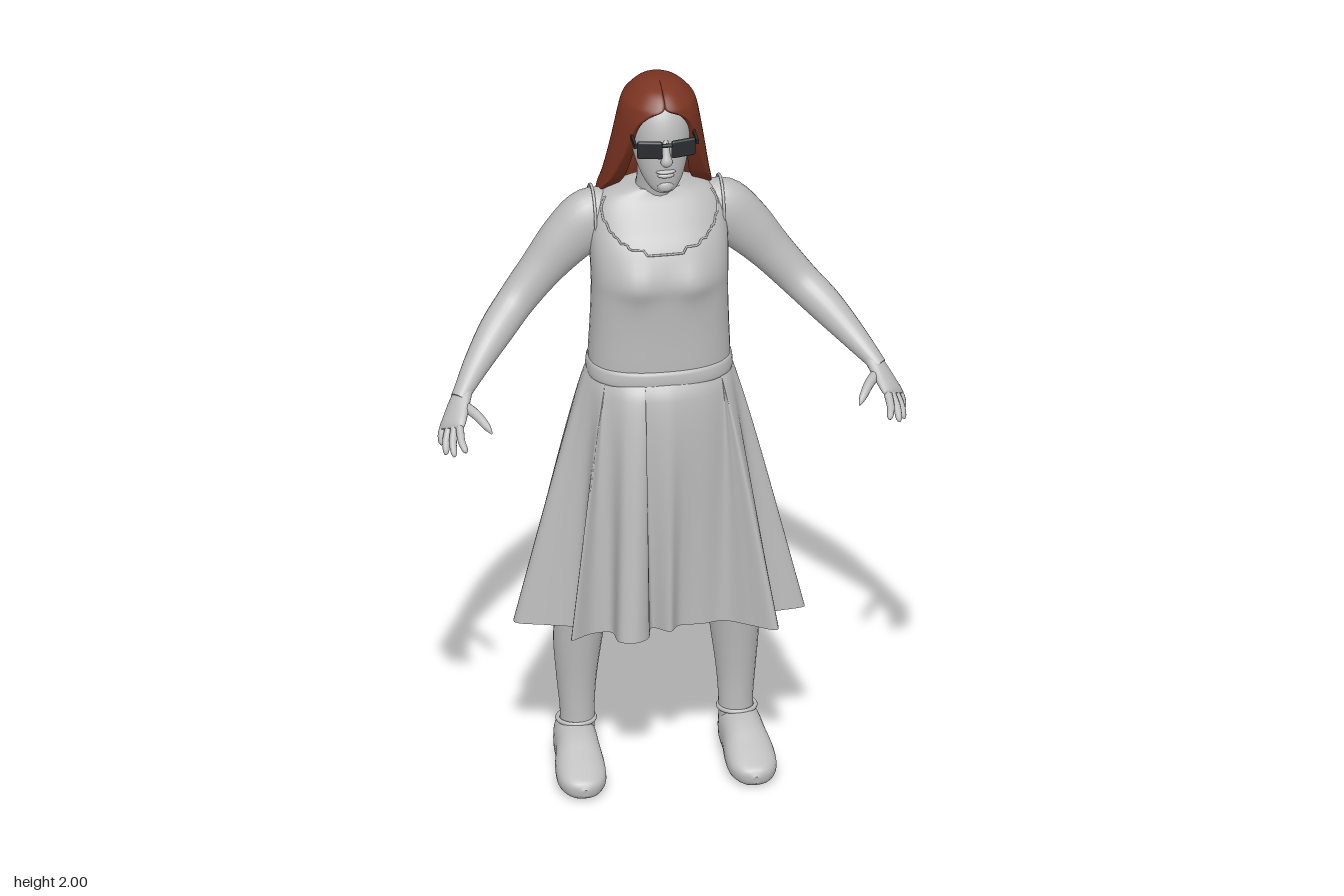
import * as THREE from 'three';
import { RoundedBoxGeometry } from 'three/addons/geometries/RoundedBoxGeometry.js';

const clay = new THREE.MeshStandardMaterial({ color: 0xbcbcbc, side: THREE.DoubleSide });
clay.name = 'pale grey';
const auburn = new THREE.MeshStandardMaterial({ color: 0x7c3421 });
auburn.name = 'auburn';
const dark = new THREE.MeshStandardMaterial({ color: 0x2b2c30 });
dark.name = 'dark lens';

const V = (x, y, z) => new THREE.Vector3(x, y, z);
const pow = (v, p) => Math.sign(v) * Math.abs(v) ** (2 / p);

// Smoothly resample a table of section rows, column by column
function sample(rows, steps) {
  const out = [], last = rows.length - 1;
  for (let k = 0; k <= steps; k++) {
    const u = (k / steps) * last, i = Math.min(Math.floor(u), last - 1), t = u - i;
    const [a, b, c, d] = [i - 1, i, i + 1, i + 2].map((j) => rows[Math.max(0, Math.min(last, j))]);
    out.push(b.map((_, n) => b[n] + 0.5 * t * (c[n] - a[n] + t * (2 * a[n] - 5 * b[n] + 4 * c[n] - d[n]
      + t * (3 * (b[n] - c[n]) + d[n] - a[n])))));
  }
  return out;
}

// Skin closed rings of points; caps are separate so the rims stay crisp
function loft(rings, caps = true) {
  const pos = [], idx = [], n = rings[0].length;
  rings.forEach((r) => r.forEach((p) => pos.push(p.x, p.y, p.z)));
  for (let i = 0; i < rings.length - 1; i++) for (let j = 0; j < n; j++) {
    const a = i * n + j, b = i * n + (j + 1) % n;
    idx.push(a, b, b + n, a, b + n, a + n);
  }
  if (caps) [rings[0], rings[rings.length - 1]].forEach((r, end) => {
    const base = pos.length / 3;
    const c = r.reduce((s, p) => s.add(p), V(0, 0, 0)).divideScalar(n);
    [...r, c].forEach((p) => pos.push(p.x, p.y, p.z));
    for (let j = 0; j < n; j++) {
      const a = base + j, b = base + (j + 1) % n;
      idx.push(...(end ? [a, b, base + n] : [b, a, base + n]));
    }
  });
  // turn faces outward
  let volume = 0;
  const at = (i) => V(pos[i * 3], pos[i * 3 + 1], pos[i * 3 + 2]);
  for (let i = 0; i < idx.length; i += 3) volume += at(idx[i]).dot(at(idx[i + 1]).cross(at(idx[i + 2])));
  if (volume < 0) idx.reverse();
  const g = new THREE.BufferGeometry();
  g.setAttribute('position', new THREE.Float32BufferAttribute(pos, 3));
  g.setIndex(idx);
  g.computeVertexNormals();
  return g;
}

// Upright body section: [y, half width, front z, back z]
const bodyPoint = ([y, rx, zf, zb], a, p = 2.3) =>
  V(rx * pow(Math.sin(a), p), y, (zf + zb) / 2 + (zf - zb) / 2 * pow(Math.cos(a), p));
const bodyRing = (row, p, n = 48) => Array.from({ length: n }, (_, j) => bodyPoint(row, j / n * 2 * Math.PI, p));

// Limb along a path: rows are [x, y, z, radius across, radius along ref]
function limb(rows, ref = V(0, 0, 1), steps = 24, n = 20, p = 2) {
  const s = sample(rows, steps), at = (i) => V(...s[Math.max(0, Math.min(steps, i))]);
  return loft(s.map((r, i) => {
    const t = at(i + 1).sub(at(i - 1)).normalize();
    const u = t.clone().cross(ref).normalize(), w = u.clone().cross(t);
    return Array.from({ length: n }, (_, j) => {
      const a = j / n * 2 * Math.PI;
      return at(i).addScaledVector(u, r[3] * pow(Math.cos(a), p)).addScaledVector(w, r[4] * pow(Math.sin(a), p));
    });
  }));
}

export function createModel() {
  const model = new THREE.Group();
  const add = (name, geo, mat = clay, parent = model) => {
    const m = new THREE.Mesh(geo, mat);
    m.name = name;
    parent.add(m);
    return m;
  };
  const ball = (name, x, y, z, sx, sy, sz) => {
    const m = add(name, new THREE.SphereGeometry(1, 20, 14));
    m.position.set(x, y, z);
    m.scale.set(sx, sy, sz);
    return m;
  };

  // Torso with a soft bust
  const torso = sample([[1.14, 0.18, 0.09, -0.145], [1.2, 0.184, 0.095, -0.148], [1.3, 0.18, 0.096, -0.14],
    [1.4, 0.177, 0.1, -0.138], [1.46, 0.178, 0.103, -0.143], [1.53, 0.18, 0.08, -0.15], [1.59, 0.178, 0.045, -0.152],
    [1.635, 0.165, 0.018, -0.145], [1.665, 0.135, 0, -0.135], [1.685, 0.075, -0.008, -0.12]], 44);
  const bust = (p) => {
    if (p.z > 0) p.z += 0.014 * Math.exp(-(((Math.abs(p.x) - 0.075) / 0.045) ** 2) - ((p.y - 1.455) / 0.05) ** 2);
    return p;
  };
  add('torso', loft(torso.map((r) => bodyRing(r, 2.4).map(bust))));
  const neckline = [];
  for (let a = -1.25; a <= 1.26; a += 0.05) {
    const y = 1.54 + 0.12 * (a / 1.25) ** 2;
    const row = torso.reduce((best, r) => (Math.abs(r[0] - y) < Math.abs(best[0] - y) ? r : best));
    neckline.push(bust(bodyPoint(row, a, 2.4)));
  }
  add('neckline', new THREE.TubeGeometry(new THREE.CatmullRomCurve3(neckline), 60, 0.003, 6));
  add('neck', limb([[0, 1.63, -0.07, 0.075, 0.06], [0, 1.69, -0.05, 0.056, 0.052], [0, 1.8, -0.03, 0.055, 0.055]]));

  // Waistband and folded skirt
  add('waistband', loft(sample([[1.16, 0.183, 0.096, -0.15], [1.167, 0.19, 0.104, -0.157], [1.198, 0.188, 0.102, -0.155],
    [1.205, 0.181, 0.095, -0.148]], 8).map((r) => bodyRing(r, 2.4))));
  const hemXZ = [[0, 0.15], [0.03, 0.11], [0.09, 0.11], [0.15, 0.1], [0.21, 0.15], [0.27, 0.2], [0.28, 0.14], [0.27, 0.07],
    [0.37, 0.04], [0.345, -0.02], [0.325, -0.1], [0.35, -0.2], [0.35, -0.26], [0.29, -0.275], [0.2, -0.22], [0.14, -0.2],
    [0.12, -0.26], [0.07, -0.26], [0.05, -0.2], [-0.02, -0.2], [-0.04, -0.26], [-0.1, -0.265], [-0.13, -0.2], [-0.17, -0.265],
    [-0.25, -0.27], [-0.33, -0.19], [-0.35, -0.1], [-0.38, -0.01], [-0.3, 0.03], [-0.23, 0.07], [-0.26, 0.16], [-0.2, 0.12],
    [-0.15, 0.12], [-0.14, 0.2], [-0.1, 0.215], [-0.065, 0.19], [-0.04, 0.11]];
  const hem = new THREE.CatmullRomCurve3(hemXZ.map(([x, z]) => V(x, 0.455 + 0.14 * z, z)), true).getPoints(222).slice(0, -1);
  const skirt = [];
  for (let i = 0; i <= 28; i++) {
    const t = i / 28, hip = 0.03 * Math.sin(Math.PI * Math.sqrt(t));
    skirt.push(hem.map((h) => {
      const a = Math.atan2(h.x, h.z + 0.03);
      const p = bodyPoint([1.18, 0.184, 0.097, -0.151], a, 2.2).lerp(h, t);
      p.x += 0.3 * hip * Math.sin(a);
      p.z += hip * Math.cos(a);
      return p;
    }));
  }
  add('skirt', loft(skirt, false));

  // Head and face
  add('head', loft(sample([[1.712, 0.012, 0.065, 0.03], [1.722, 0.034, 0.078, 0], [1.75, 0.053, 0.083, -0.04],
    [1.79, 0.068, 0.085, -0.09], [1.84, 0.077, 0.083, -0.12], [1.89, 0.08, 0.077, -0.13], [1.935, 0.074, 0.06, -0.12],
    [1.97, 0.045, 0.03, -0.09], [1.98, 0.01, -0.02, -0.04]], 32).map((r) => bodyRing(r, 2.1))));
  add('nose', limb([[0, 1.87, 0.074, 0.008, 0.008], [0, 1.835, 0.088, 0.011, 0.011], [0, 1.815, 0.094, 0.016, 0.013],
    [0, 1.806, 0.088, 0.006, 0.006]], V(0, 0, 1), 12, 14));
  ball('upperLip', 0, 1.783, 0.083, 0.026, 0.006, 0.009);
  ball('lowerLip', 0, 1.772, 0.082, 0.022, 0.007, 0.009);
  ball('chin', 0, 1.738, 0.073, 0.022, 0.018, 0.015);

  // Long hair: curved sheet, [y, half width, centre z, depth, wrap angle, thickness, squareness]
  const hair = sample([[1.14, 0.155, -0.145, 0.045, 1.4, 0.022, 3], [1.28, 0.155, -0.145, 0.05, 1.4, 0.026, 3],
    [1.45, 0.156, -0.14, 0.058, 1.45, 0.03, 2.8], [1.58, 0.157, -0.12, 0.076, 1.5, 0.035, 2.6],
    [1.66, 0.149, -0.1, 0.09, 1.8, 0.045, 2.3], [1.71, 0.139, -0.08, 0.1, 2.05, 0.045, 2.1],
    [1.8, 0.123, -0.055, 0.11, 2.25, 0.035, 2], [1.89, 0.107, -0.04, 0.117, 2.4, 0.03, 2],
    [1.932, 0.098, -0.037, 0.112, 2.7, 0.028, 2], [1.955, 0.086, -0.035, 0.102, 3.13, 0.028, 2],
    [1.985, 0.054, -0.033, 0.068, 3.14, 0.03, 2], [2, 0.008, -0.03, 0.012, 3.14, 0.005, 2]], 66);
  add('hair', loft(hair.map(([y, rx, zc, rz, wrap, thick, p]) => {
    const point = (f, inset) => {
      const a = f * wrap, strand = 0.0025 * Math.sin(f * 31) * Math.min(1, (2 - y) * 6);
      return V(Math.max(rx - inset, 0.003) * pow(Math.sin(a), p), y,
        zc - Math.max(rz - inset, 0.003) * pow(Math.cos(a), p) - strand * Math.cos(a));
    };
    const outer = Array.from({ length: 65 }, (_, j) => point(j / 32 - 1, 0));
    const inner = Array.from({ length: 65 }, (_, j) => point(1 - j / 32, thick));
    return [...outer, ...inner];
  })), auburn);

  // Sunglasses
  const glasses = new THREE.Group();
  glasses.name = 'sunglasses';
  model.add(glasses);
  add('bridge', new RoundedBoxGeometry(0.03, 0.01, 0.01, 2, 0.004), dark, glasses).position.set(0, 1.868, 0.1);

  for (const s of [1, -1]) {
    const side = s > 0 ? 'left' : 'right';
    const mirror = (rows) => rows.map(([x, ...r]) => [s * x, ...r]);
    const lens = add(side + 'Lens', new RoundedBoxGeometry(0.066, 0.05, 0.012, 4, 0.006), dark, glasses);
    lens.position.set(s * 0.044, 1.856, 0.095);
    lens.rotation.y = s * 0.2;
    const temple = add(side + 'Temple', new THREE.BoxGeometry(0.007, 0.012, 0.1), dark, glasses);
    temple.position.set(s * 0.081, 1.868, 0.042);

    // Arm, hand and fingers
    add(side + 'Arm', limb(mirror([[0.11, 1.59, -0.075, 0.06, 0.05], [0.165, 1.585, -0.075, 0.082, 0.062],
      [0.23, 1.53, -0.075, 0.073, 0.06], [0.3, 1.45, -0.07, 0.058, 0.053], [0.37, 1.37, -0.05, 0.05, 0.047],
      [0.43, 1.315, 0, 0.046, 0.044], [0.49, 1.255, 0.06, 0.035, 0.035], [0.535, 1.21, 0.115, 0.024, 0.027],
      [0.55, 1.195, 0.13, 0.02, 0.026]]), V(0, 0, 1), 40, 24));
    const hole = add(side + 'ArmholeSeam', new THREE.TorusGeometry(0.088, 0.004, 6, 40));
    hole.scale.x = 0.74;
    hole.position.set(s * 0.168, 1.585, -0.075);
    hole.rotation.set(0, Math.PI / 2, 0);
    const spread = V(-0.5 * s, 0.12, 0.86).normalize();
    add(side + 'Palm', limb(mirror([[0.53, 1.215, 0.11, 0.02, 0.024], [0.55, 1.185, 0.14, 0.019, 0.033],
      [0.572, 1.15, 0.18, 0.016, 0.04], [0.58, 1.14, 0.193, 0.007, 0.034]]), spread, 14, 18));
    [[0.555, 1.11, 0.272], [0.583, 1.092, 0.255], [0.6, 1.084, 0.225], [0.605, 1.092, 0.185]].forEach((tip, i) => {
      const base = V(s * 0.574, 1.147, 0.182).addScaledVector(spread, 0.029 - i * 0.0195);
      const end = V(s * tip[0], tip[1], tip[2]), mid = base.clone().lerp(end, 0.5);
      mid.x += s * 0.004;
      add(side + 'Finger' + (i + 1), limb([[...base, 0.011, 0.011], [...mid, 0.01, 0.01],
        [...base.clone().lerp(end, 0.88), 0.008, 0.008], [...end, 0.002, 0.002]], spread, 10, 10));
    });
    add(side + 'Thumb', limb(mirror([[0.545, 1.185, 0.145, 0.014, 0.016], [0.515, 1.175, 0.185, 0.013, 0.013],
      [0.492, 1.155, 0.22, 0.01, 0.01], [0.48, 1.14, 0.236, 0.002, 0.002]]), V(0, 1, 0), 12, 10));

    // Leg
    add(side + 'Leg', limb(mirror([[0.1, 1, -0.03, 0.09, 0.1], [0.135, 0.8, -0.04, 0.09, 0.095], [0.175, 0.6, -0.05, 0.075, 0.08],
      [0.195, 0.47, -0.06, 0.067, 0.067], [0.205, 0.36, -0.073, 0.063, 0.066], [0.208, 0.25, -0.073, 0.052, 0.056],
      [0.207, 0.16, -0.067, 0.045, 0.047], [0.207, 0.08, -0.065, 0.045, 0.047]]), V(0, 0, 1), 36, 24));

    // Rounded slip-on shoe with a collar
    add(side + 'Shoe', limb(mirror([[0.215, 0.07, -0.125, 0.012, 0.035], [0.215, 0.072, -0.112, 0.043, 0.06],
      [0.215, 0.073, -0.06, 0.055, 0.067], [0.217, 0.069, 0, 0.057, 0.064], [0.221, 0.054, 0.06, 0.064, 0.05],
      [0.223, 0.04, 0.115, 0.061, 0.036], [0.223, 0.032, 0.15, 0.04, 0.025], [0.223, 0.03, 0.164, 0.01, 0.01]]),
    V(0, 1, 0), 30, 28, 2.5));
    const collar = add(side + 'ShoeCollar', new THREE.TorusGeometry(0.048, 0.006, 8, 32));
    collar.position.set(s * 0.21, 0.134, -0.065);
    collar.rotation.x = Math.PI / 2 - 0.05;
  }
  return model;
}
